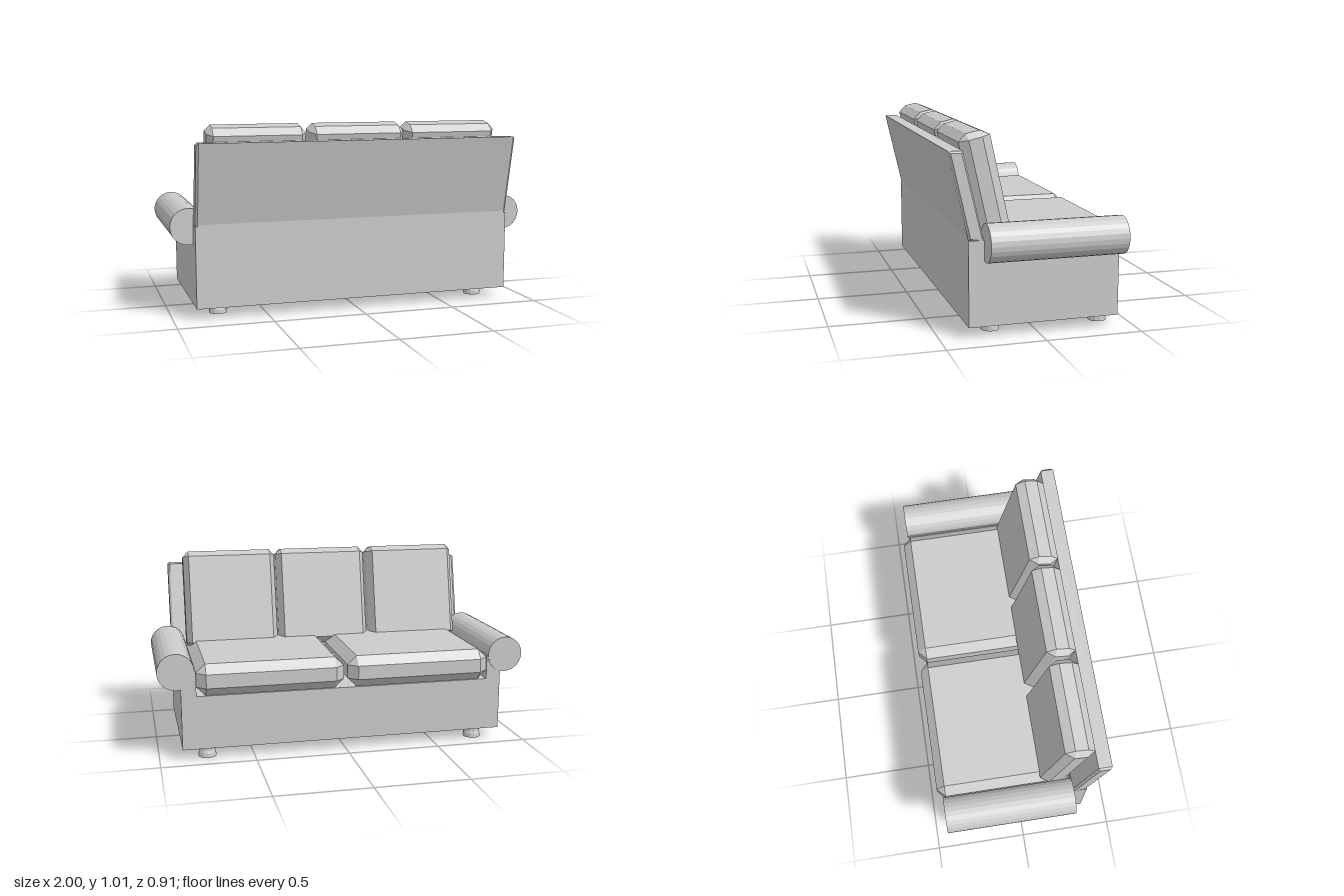
import * as THREE from 'three';
import { ConvexGeometry } from 'three/addons/geometries/ConvexGeometry.js';

const material = new THREE.MeshStandardMaterial({ color: 0xcccccc, flatShading: true });

export function createModel() {
  const sofa = new THREE.Group();
  sofa.name = 'sofa';

  function add(name, geometry, x = 0, y = 0, z = 0) {
    const mesh = new THREE.Mesh(geometry, material);
    mesh.name = name;
    mesh.position.set(x, y, z);
    sofa.add(mesh);
    return mesh;
  }

  const polygon = (points) => new THREE.Shape(points.map(([a, b]) => new THREE.Vector2(a, b)));

  // Box with all edges and corners cut off; (bx, by, bz) is the cut along each axis
  function cushion(w, h, d, bx, by, bz) {
    const points = [];
    const [x, y, z] = [w / 2, h / 2, d / 2];
    for (const i of [-1, 1]) for (const j of [-1, 1]) for (const k of [-1, 1]) {
      points.push(
        new THREE.Vector3(i * x, j * (y - by), k * (z - bz)),
        new THREE.Vector3(i * (x - bx), j * y, k * (z - bz)),
        new THREE.Vector3(i * (x - bx), j * (y - by), k * z));
    }
    return new ConvexGeometry(points);
  }

  // Base: U-shaped section with low deck and two arm walls
  const section = polygon([
    [-0.88, 0.057], [0.88, 0.057], [0.88, 0.48], [0.8, 0.48],
    [0.8, 0.345], [-0.8, 0.345], [-0.8, 0.48], [-0.88, 0.48],
  ]);
  add('base', new THREE.ExtrudeGeometry(section, { depth: 0.7, bevelEnabled: false }), 0, 0, -0.42);
  add('baseBack', new THREE.BoxGeometry(1.76, 0.433, 0.08), 0, 0.2735, 0.32);

  // Leaning back panel with slightly bevelled ends
  const lean = polygon([[0.28, 0.48], [0.36, 0.49], [0.36, 0.5], [0.455, 0.925], [0.383, 0.925]]);
  const panel = new THREE.ExtrudeGeometry(lean, {
    depth: 1.736, bevelThickness: 0.012, bevelSize: 0.01, bevelOffset: -0.01, bevelSegments: 1,
  });
  panel.translate(0, 0, -0.868).rotateY(-Math.PI / 2);
  add('backPanel', panel);

  // Round arms
  const arm = new THREE.CylinderGeometry(0.097, 0.097, 0.705, 24).rotateX(Math.PI / 2);
  for (const s of [-1, 1]) add(s > 0 ? 'leftArm' : 'rightArm', arm, s * 0.903, 0.481, -0.0725);

  // Two seat cushions
  const seat = cushion(0.79, 0.17, 0.715, 0.05, 0.048, 0.045);
  for (const s of [-1, 1]) add('seatCushion', seat, s * 0.405, 0.43, -0.0975);

  // Three leaning back cushions
  const back = cushion(0.528, 0.556, 0.162, 0.03, 0.031, 0.046);
  for (const x of [-0.547, 0, 0.536]) add('backCushion', back, x, 0.73, 0.248).rotation.x = 0.218;

  // Four flared feet
  const profile = [[0, 0], [0.048, 0], [0.046, 0.022], [0.041, 0.035], [0.04, 0.06], [0, 0.06]]
    .map(([r, y]) => new THREE.Vector2(r, y));
  const foot = new THREE.LatheGeometry(profile, 12);
  for (const x of [-0.747, 0.747]) for (const z of [-0.36, 0.217]) add('foot', foot, x, 0, z);

  return sofa;
}
